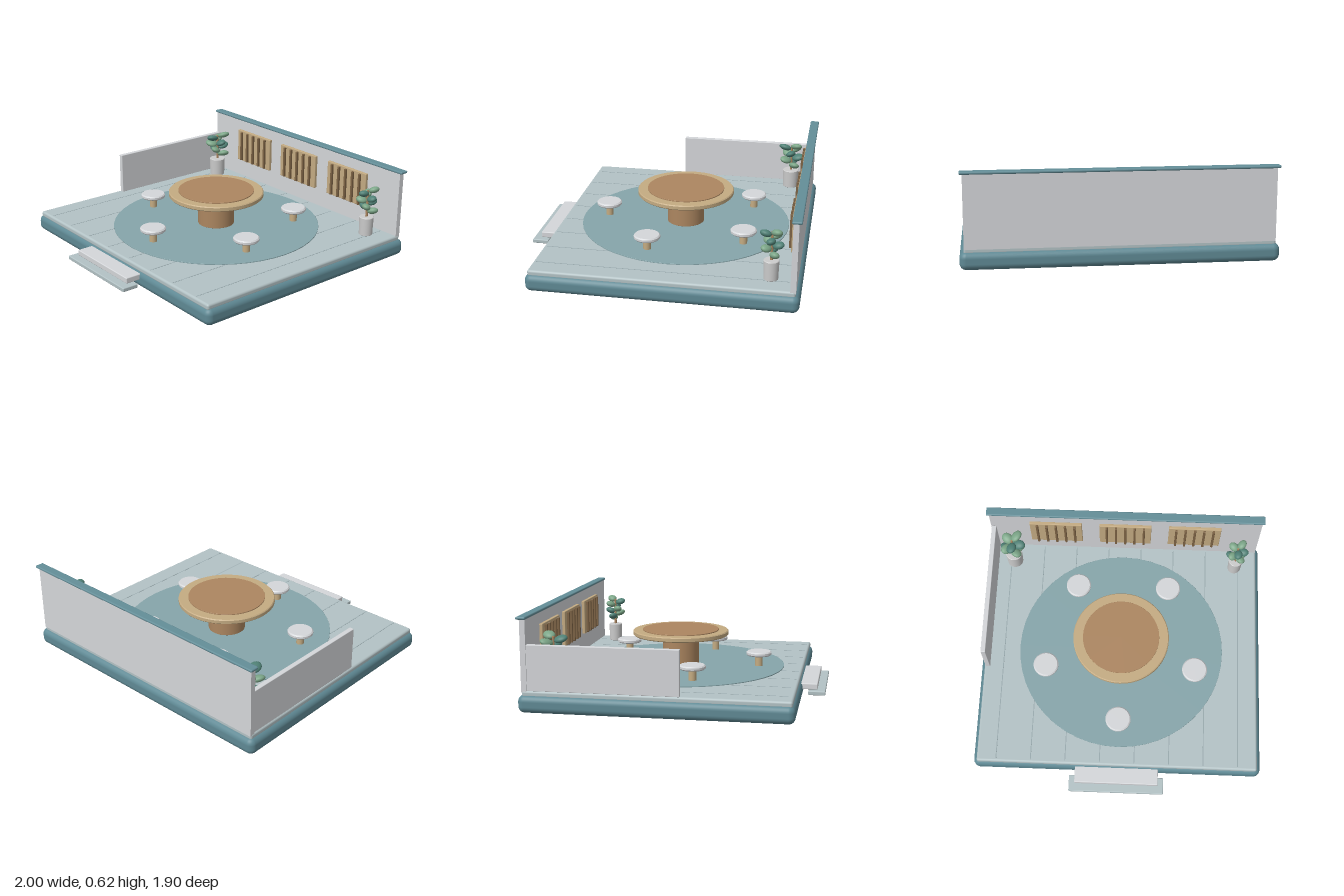
import * as THREE from 'three';
import { RoundedBoxGeometry } from 'three/addons/geometries/RoundedBoxGeometry.js';

const mat = (color) => new THREE.MeshStandardMaterial({ color });
const M = {
  base: mat(0x5f8994), floor: mat(0xb3c2c5), groove: mat(0x98a9ad), rug: mat(0x86a5aa),
  light: mat(0xd4d6d9), cap: mat(0x648e98), wood: mat(0xc4ab82), inlay: mat(0xac8660),
  slat: mat(0x7d6345), leafA: mat(0x7ba587), leafB: mat(0x4f8075), grey: mat(0xcccccc),
};

function add(parent, name, geometry, material, x = 0, y = 0, z = 0) {
  const mesh = new THREE.Mesh(geometry, material);
  mesh.name = name;
  mesh.position.set(x, y, z);
  parent.add(mesh);
  return mesh;
}

// Box given by its lower and upper limits, optionally with rounded edges
function box(parent, name, material, [x0, x1], [y0, y1], [z0, z1], r = 0) {
  const s = [x1 - x0, y1 - y0, z1 - z0];
  const g = r ? new RoundedBoxGeometry(...s, 4, r) : new THREE.BoxGeometry(...s);
  return add(parent, name, g, material, (x0 + x1) / 2, (y0 + y1) / 2, (z0 + z1) / 2);
}

// Upright disc or post with a small softened rim
function disc(parent, name, material, r, y0, y1, x, z, bevel = 0.003, rBottom = r) {
  const h = y1 - y0;
  const pts = [[0, 0], [rBottom - bevel, 0], [rBottom - bevel, 0], [rBottom, bevel], [rBottom, bevel],
    [r, h - bevel], [r, h - bevel], [r - bevel, h], [r - bevel, h], [0, h]];
  const g = new THREE.LatheGeometry(pts.map(([a, b]) => new THREE.Vector2(a, b)), 48);
  return add(parent, name, g, material, x, y0, z);
}

function createPlant(width) {
  const plant = new THREE.Group();
  plant.name = 'pottedPlant';
  disc(plant, 'pot', M.grey, 0.06 * width, 0, 0.133, 0, 0, 0.004, 0.056 * width);
  add(plant, 'stem', new THREE.CylinderGeometry(0.007, 0.009, 0.2, 10), M.inlay, 0, 0.225, 0);
  // Leaves spiral up the stem
  const leafGeometry = new THREE.SphereGeometry(1, 18, 12);
  for (let i = 0; i < 9; i++) {
    const pivot = new THREE.Group();
    pivot.name = 'leafPivot';
    pivot.position.y = 0.18 + i * 0.0185;
    pivot.rotation.y = i * 2.4 + 0.5;
    const leaf = add(pivot, 'leaf', leafGeometry, i % 2 ? M.leafB : M.leafA, 0.049 * width, 0, 0);
    leaf.scale.set(0.046 * width, 0.022, 0.036 * width);
    leaf.rotation.set(i % 2 ? 0.35 : -0.35, 0, 0.25);
    plant.add(pivot);
  }
  return plant;
}

export function createModel() {
  const model = new THREE.Group();
  model.name = 'diningTerrace';
  const cz = -0.08; // centre of the seating circle

  // Platform, floor and plank grooves
  box(model, 'platform', M.base, [-1, 1], [0, 0.115], [-0.95, 0.797], 0.042);
  box(model, 'floor', M.floor, [-0.975, 0.975], [0.1, 0.143], [-0.925, 0.78], 0.015);
  for (let i = 0; i < 8; i++) {
    const x = -0.84 + i * 0.24;
    box(model, 'plankGroove', M.groove, [x - 0.003, x + 0.003], [0.14, 0.1438], [-0.88, 0.76]);
  }

  // Front steps
  box(model, 'upperStep', M.light, [-0.29, 0.29], [0.06, 0.1], [0.76, 0.897], 0.006);
  box(model, 'lowerStep', M.floor, [-0.33, 0.33], [0.03, 0.058], [0.837, 0.95], 0.006);

  // Back wall with rail, and the low side wall
  box(model, 'backWall', M.light, [-0.972, 0.972], [0.13, 0.6], [-0.926, -0.89]);
  box(model, 'wallCap', M.cap, [-0.99, 0.99], [0.597, 0.615], [-0.945, -0.882], 0.008);
  box(model, 'sideWall', M.light, [-0.968, -0.935], [0.14, 0.437], [-0.89, 0.085], 0.004);

  // Slatted wall panels
  for (const x of [-0.5, 0, 0.5]) {
    box(model, 'wallPanel', M.wood, [x - 0.187, x + 0.187], [0.275, 0.522], [-0.892, -0.868], 0.004);
    for (let i = -2; i <= 2; i++) {
      const sx = x + i * 0.067;
      box(model, 'panelSlat', M.slat, [sx - 0.008, sx + 0.008], [0.282, 0.512], [-0.87, -0.851], 0.003);
    }
  }

  // Round rug and table
  disc(model, 'rug', M.rug, 0.728, 0.142, 0.149, 0, cz, 0.001);
  disc(model, 'tablePedestal', M.inlay, 0.128, 0.147, 0.357, 0, cz);
  disc(model, 'tableTop', M.wood, 0.335, 0.355, 0.389, 0, cz, 0.006);
  disc(model, 'tableInlay', M.inlay, 0.267, 0.386, 0.396, 0, cz, 0.001);

  // Five stools around the table
  for (let i = 0; i < 5; i++) {
    const a = Math.PI / 2 + (i * Math.PI * 2) / 5;
    const stool = new THREE.Group();
    stool.name = 'stool';
    stool.position.set(Math.cos(a) * 0.553, 0, cz + Math.sin(a) * 0.553);
    disc(stool, 'stoolPost', M.wood, 0.026, 0.147, 0.226, 0, 0, 0.001);
    disc(stool, 'stoolSeat', M.light, 0.088, 0.223, 0.253, 0, 0, 0.008);
    model.add(stool);
  }

  // Plants in the back corners
  for (const [x, width] of [[-0.813, 1], [0.813, 0.83]]) {
    const plant = createPlant(width);
    plant.position.set(x, 0.142, -0.757);
    model.add(plant);
  }
  return model;
}
